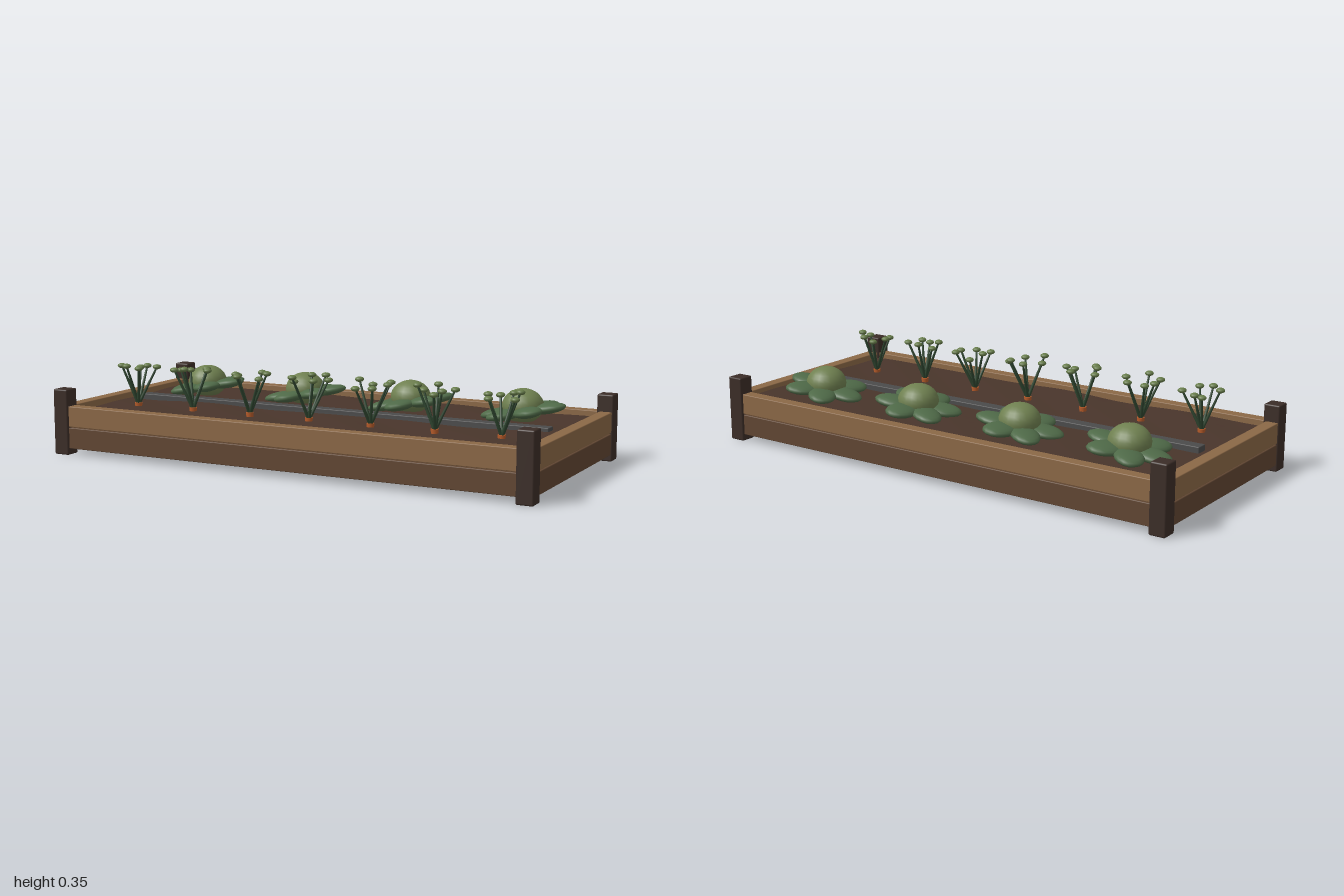
import * as THREE from 'three';
import { RoundedBoxGeometry } from 'three/addons/geometries/RoundedBoxGeometry.js';

const paint = (color) => new THREE.MeshStandardMaterial({ color, roughness: 0.9 });
const mats = {
  post: paint(0x3b2d27), upper: paint(0x8b6846), lower: paint(0x614632), soil: paint(0x49352b),
  hose: paint(0x4b4b4b), leaf: paint(0x4f6a48), head: paint(0x6f8050),
  stem: paint(0x2f4630), tuft: paint(0x667b49), root: paint(0xb85c2a),
};

function add(parent, name, geometry, material, x = 0, y = 0, z = 0) {
  const mesh = new THREE.Mesh(geometry, material);
  mesh.name = name;
  mesh.position.set(x, y, z);
  parent.add(mesh);
  return mesh;
}

function seeded(seed) {
  let s = seed;
  return () => (s = (s * 16807) % 2147483647) / 2147483647;
}

// Corner posts and two rows of boards on each side
function buildFrame(group) {
  const post = new RoundedBoxGeometry(0.065, 0.26, 0.065, 2, 0.006);
  for (const sx of [-1, 1])
    for (const sz of [-1, 1]) add(group, 'cornerPost', post, mats.post, sx * 0.9675, 0.13, sz * 0.4325);

  const rows = [['lowerBoard', 0.067, 0.083, mats.lower], ['upperBoard', 0.1525, 0.081, mats.upper]];
  for (const [name, y, height, mat] of rows) {
    const long = new RoundedBoxGeometry(1.9, height, 0.05, 1, 0.003);
    const short = new RoundedBoxGeometry(0.05, height, 0.84, 1, 0.003);
    for (const s of [-1, 1]) {
      add(group, name + 'Long', long, mat, 0, y, s * 0.43);
      add(group, name + 'End', short, mat, s * 0.97, y, 0);
    }
  }
}

// Soil block with a gently uneven surface
function buildSoil(group) {
  const geo = new THREE.BoxGeometry(1.9, 0.115, 0.82, 40, 1, 18);
  const p = geo.attributes.position;
  for (let i = 0; i < p.count; i++) {
    const x = p.getX(i), z = p.getZ(i);
    p.setY(i, p.getY(i) + 0.003 * Math.sin(9 * x + 4 * z) + 0.002 * Math.sin(17 * z - 13 * x));
  }
  geo.computeVertexNormals();
  add(group, 'soil', geo, mats.soil, 0, 0.1125, 0);
}

// Round head on a tilted rosette of six leaves
function buildCabbage(x, turn) {
  const plant = new THREE.Group();
  plant.name = 'cabbage';
  plant.position.set(x, 0, -0.21);
  const head = add(plant, 'cabbageHead', new THREE.SphereGeometry(1, 20, 14), mats.head, 0, 0.225, 0);
  head.scale.set(0.08, 0.067, 0.08);
  const rosette = new THREE.Group();
  rosette.name = 'leafRosette';
  rosette.position.y = 0.205;
  rosette.rotation.z = 0.17;
  const leafGeo = new THREE.SphereGeometry(1, 16, 10);
  for (let i = 0; i < 6; i++) {
    const a = turn + (i * Math.PI) / 3;
    const leaf = add(rosette, 'cabbageLeaf', leafGeo, mats.leaf, 0.095 * Math.cos(a), 0, -0.095 * Math.sin(a));
    leaf.scale.set(0.077, 0.021, 0.056);
    leaf.rotation.y = a;
  }
  plant.add(rosette);
  return plant;
}

// Orange crown with a fan of stems, each ending in a small tuft
function buildCarrot(x, seed) {
  const rand = seeded(seed);
  const plant = new THREE.Group();
  plant.name = 'carrot';
  plant.position.set(x, 0, 0.2);
  add(plant, 'carrotCrown', new THREE.CylinderGeometry(0.015, 0.012, 0.04, 12), mats.root, 0, 0.165, 0);
  const tuftGeo = new THREE.SphereGeometry(0.017, 12, 8).scale(1, 0.6, 1);
  const up = new THREE.Vector3(0, 1, 0);
  const base = new THREE.Vector3(0, 0.178, 0);
  for (let i = 0; i < 6; i++) {
    const a = ((i + 0.7 * rand()) * Math.PI) / 3 + seed;
    const r = 0.055 + 0.025 * rand();
    const tip = new THREE.Vector3(r * Math.cos(a), 0.318 + 0.028 * rand(), r * Math.sin(a));
    const dir = tip.clone().sub(base);
    const mid = base.clone().add(tip).multiplyScalar(0.5);
    const stem = add(plant, 'carrotStem', new THREE.CylinderGeometry(0.004, 0.007, dir.length(), 8), mats.stem, mid.x, mid.y, mid.z);
    stem.quaternion.setFromUnitVectors(up, dir.normalize());
    add(plant, 'carrotTuft', tuftGeo, mats.tuft, tip.x, tip.y, tip.z);
  }
  return plant;
}

export function createModel() {
  const group = new THREE.Group();
  group.name = 'raisedGardenBed';
  buildFrame(group);
  buildSoil(group);
  // Watering strip between the two rows
  add(group, 'wateringStrip', new RoundedBoxGeometry(1.78, 0.026, 0.05, 1, 0.003), mats.hose, 0, 0.176, -0.005);
  const cabbages = [[-0.71, 0], [-0.24, 0.3], [0.235, 0.48], [0.705, 0.02]];
  for (const [x, turn] of cabbages) group.add(buildCabbage(x, turn));
  for (let i = 0; i < 7; i++) group.add(buildCarrot((i - 3) * 0.26, 11 + 37 * i));
  return group;
}
